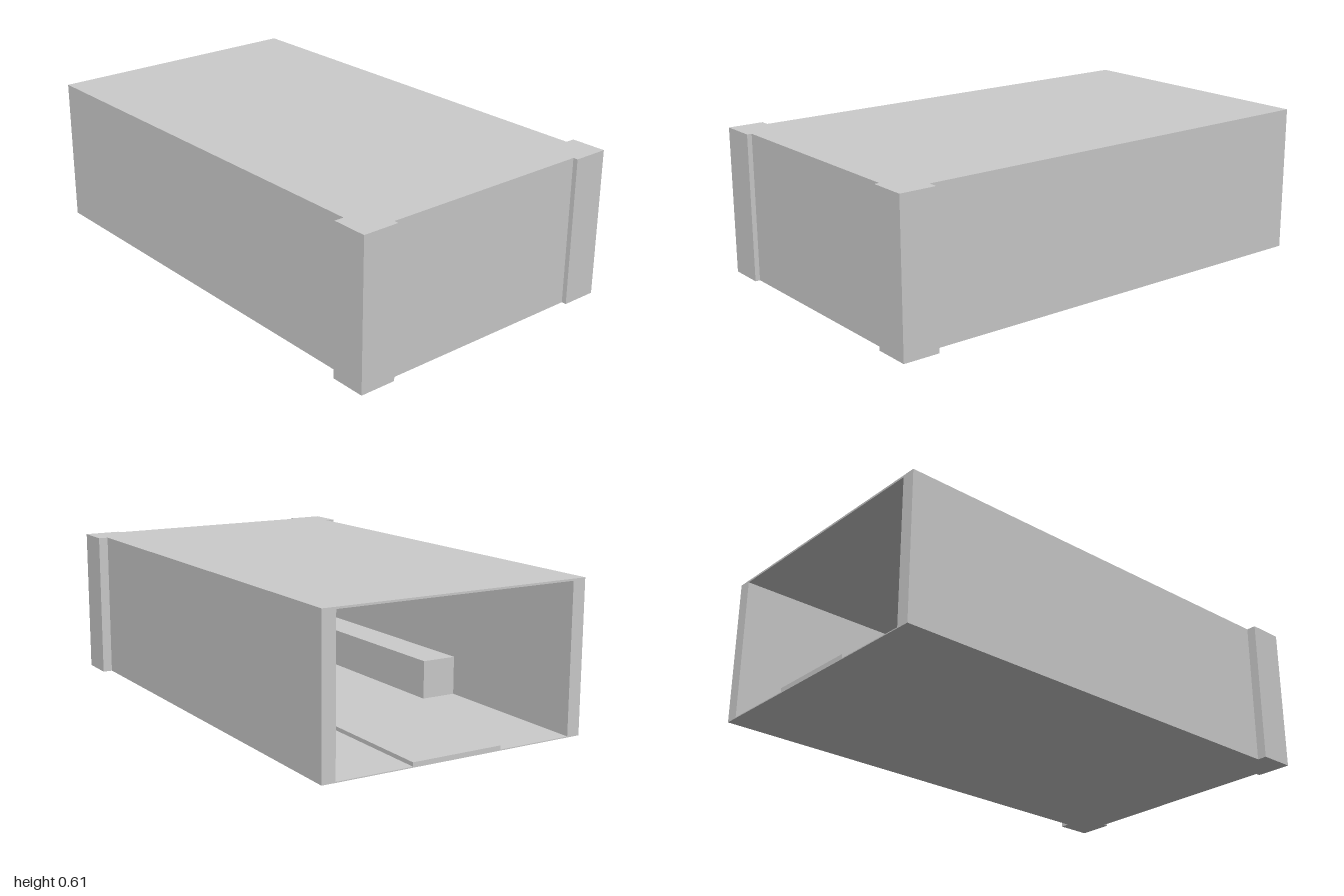
import * as THREE from 'three';

const H = 0.61, ROOF = 0.008, FLOOR = 0.004;

export function createModel() {
  const group = new THREE.Group();
  const mat = new THREE.MeshStandardMaterial({ color: 0xcccccc, flatShading: true });

  const add = (name, geo) => {
    const mesh = new THREE.Mesh(geo, mat);
    mesh.name = name;
    group.add(mesh);
    return mesh;
  };
  // Box given by its minimum and maximum corners
  const box = (name, x0, x1, y0, y1, z0, z1) =>
    add(name, new THREE.BoxGeometry(x1 - x0, y1 - y0, z1 - z0)
      .translate((x0 + x1) / 2, (y0 + y1) / 2, (z0 + z1) / 2));

  // Plan outline shared by the roof and floor sheets: long hall with two front pillars
  const half = [[0.57, -1], [0.57, 0.85], [0.61, 0.85], [0.61, 1], [0.457, 1], [0.457, 0.98]];
  const outline = [...half, ...half.map(([x, z]) => [-x, z]).reverse()];
  const plan = new THREE.Shape(outline.map(([x, z]) => new THREE.Vector2(x, -z)));
  const sheet = (name, y, depth) =>
    add(name, new THREE.ExtrudeGeometry(plan, { depth, bevelEnabled: false })
      .rotateX(-Math.PI / 2).translate(0, y, 0));
  sheet('floor', 0, FLOOR);
  sheet('roof', H - ROOF, ROOF);

  // Side walls, front corner pillars and low ledges along the walls
  const top = H - ROOF;
  for (const [side, s] of [['left', 1], ['right', -1]]) {
    const mirrored = (name, x0, x1, ...rest) =>
      box(side + name, Math.min(s * x0, s * x1), Math.max(s * x0, s * x1), ...rest);
    mirrored('Wall', 0.514, 0.57, FLOOR, top, -1, 0.85);
    mirrored('Pillar', 0.457, 0.61, FLOOR, top, 0.85, 1);
    mirrored('Ledge', 0.36, 0.514, FLOOR, 0.165, -0.28, 0.85);
  }

  // Front wall with an arched niche on its inner face
  const wall = new THREE.Shape();
  const R = 0.345, spring = 0.25;
  wall.moveTo(-0.457, FLOOR).lineTo(-R, FLOOR).lineTo(-R, spring);
  for (let i = 1; i <= 8; i++) {
    const a = Math.PI * (1 - i / 8);
    wall.lineTo(R * Math.cos(a), spring + R * Math.sin(a));
  }
  wall.lineTo(R, FLOOR).lineTo(0.457, FLOOR).lineTo(0.457, top).lineTo(-0.457, top);
  add('frontWall', new THREE.ExtrudeGeometry(wall, { depth: 0.125, bevelEnabled: false })
    .translate(0, 0, 0.85));
  box('frontPanel', -0.457, 0.457, FLOOR, top, 0.975, 0.98);

  // Raised strip along the middle of the floor
  box('floorStrip', -0.195, 0.195, FLOOR, 0.02, -1, 0.975);

  return group;
}
